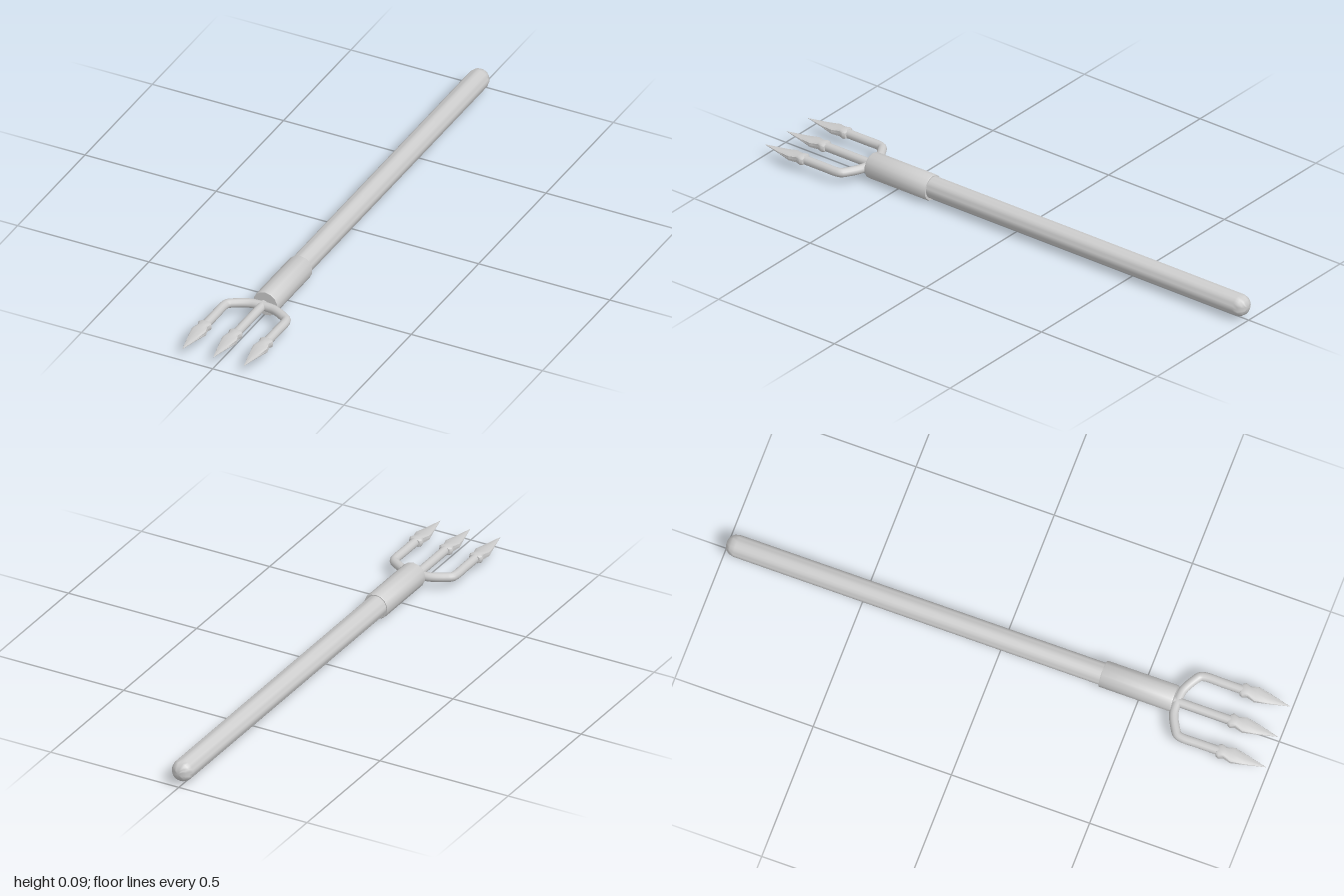
import * as THREE from 'three';
import { toCreasedNormals } from 'three/addons/utils/BufferGeometryUtils.js';

const material = new THREE.MeshStandardMaterial({ color: 0xcccccc, side: THREE.DoubleSide });
const PRONG_Y = 0.046;

function add(parent, name, geometry, x = 0, y = 0, z = 0) {
  const mesh = new THREE.Mesh(geometry, material);
  mesh.name = name;
  mesh.position.set(x, y, z);
  parent.add(mesh);
  return mesh;
}

// Round part along z from [radius, z] pairs
function turned(profile, sides) {
  const points = profile.map(([r, z]) => new THREE.Vector2(r, z));
  const g = new THREE.LatheGeometry(points, sides);
  g.rotateX(Math.PI / 2);
  return toCreasedNormals(g, 0.9);
}

// Flattened spear head from sections [z, half width, half height]
function spearHead() {
  const sections = [
    [0.815, 0, 0], [0.82, 0.021, 0.014], [0.83, 0.026, 0.017], [0.847, 0.02, 0.015],
    [0.875, 0.029, 0.012], [0.92, 0.019, 0.005], [0.996, 0.0005, 0.0005], [0.996, 0, 0],
  ];
  const sides = 12;
  const g = new THREE.CylinderGeometry(1, 1, 1, sides, sections.length - 1, true);
  g.rotateX(Math.PI / 2);
  const p = g.attributes.position;
  const soft = (v) => Math.sign(v) * Math.pow(Math.abs(v), 0.65);
  for (let i = 0; i < p.count; i++) {
    const row = Math.round((p.getZ(i) + 0.5) * (sections.length - 1));
    const [z, w, h] = sections[row];
    p.setXYZ(i, soft(p.getX(i)) * w, soft(p.getY(i)) * h, z);
  }
  g.computeVertexNormals();
  return toCreasedNormals(g, 0.8);
}

// Bent rod through [x, z] points
function rod(points) {
  const curve = new THREE.CatmullRomCurve3(
    points.map(([x, z]) => new THREE.Vector3(x, 0, z)), false, 'centripetal');
  return new THREE.TubeGeometry(curve, 40, 0.016, 12);
}

export function createModel() {
  const model = new THREE.Group();
  model.name = 'trident';

  // Long handle with a domed rear end
  add(model, 'handle', turned([
    [0, -1], [0.015, -0.998], [0.027, -0.991], [0.035, -0.98], [0.039, -0.963],
    [0.039, 0.4],
  ].reverse(), 24), 0.004, 0.051, 0);

  // Thicker collar at the front of the handle
  add(model, 'collar', turned([
    [0, 0.36], [0.045, 0.36], [0.047, 0.364], [0.047, 0.615], [0.045, 0.62], [0, 0.62],
  ].reverse(), 14), 0.006, 0.049, 0);

  // Three prongs, the outer two bent out from the collar
  const head = spearHead();
  const prongs = new THREE.Group();
  prongs.name = 'prongs';
  prongs.position.y = PRONG_Y;
  model.add(prongs);
  add(prongs, 'middleRod', rod([[0, 0.6], [0, 0.7], [0, 0.825]]));
  add(prongs, 'middleHead', head);
  for (const [side, name] of [[1, 'left'], [-1, 'right']]) {
    const path = [[0, 0.63], [0.045, 0.635], [0.095, 0.66], [0.112, 0.673], [0.117, 0.692],
      [0.117, 0.75], [0.117, 0.825]];
    add(prongs, name + 'Rod', rod(path.map(([x, z]) => [x * side, z])));
    add(prongs, name + 'Head', head, 0.117 * side);
  }
  return model;
}
